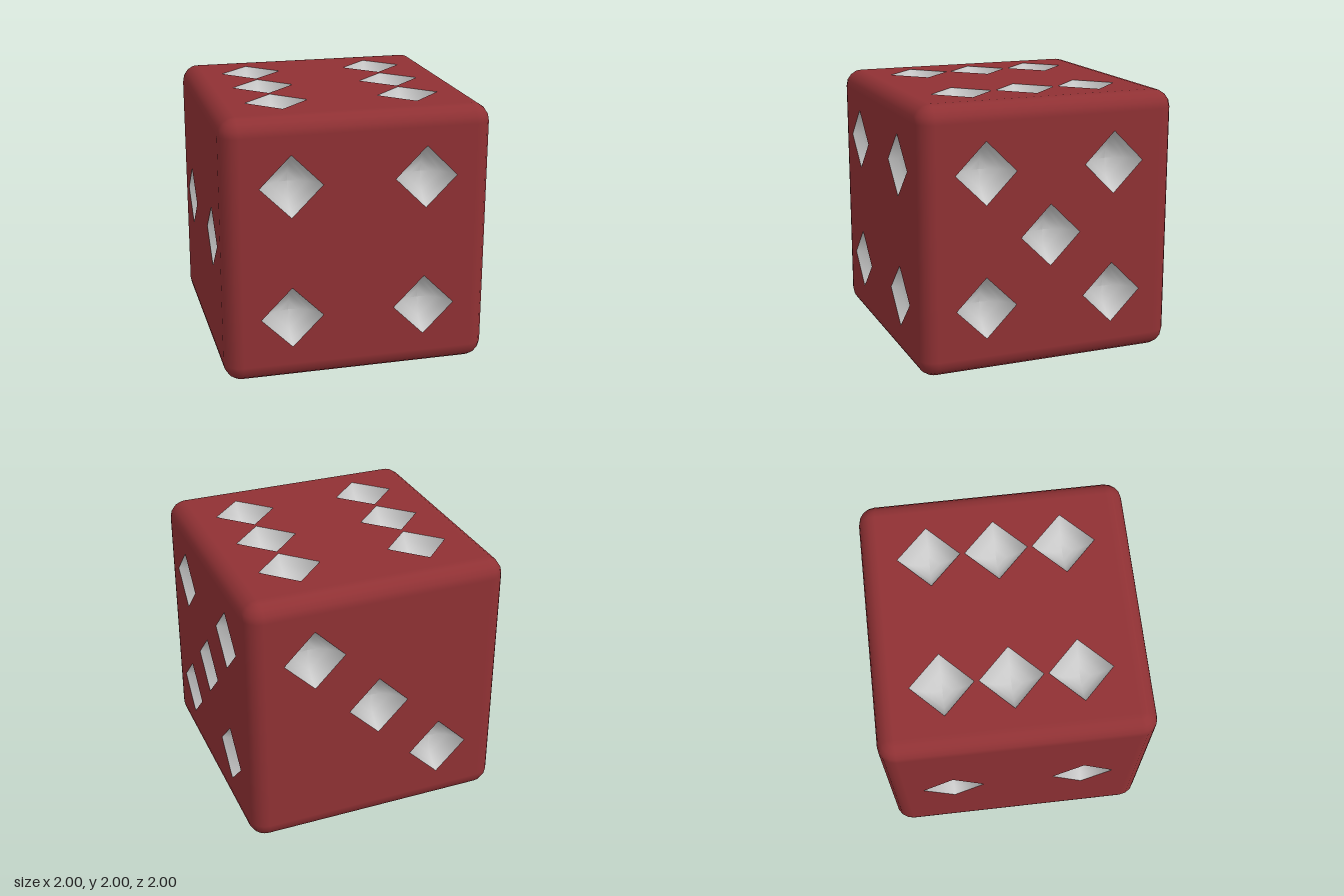
import * as THREE from 'three';
import { mergeGeometries } from 'three/addons/utils/BufferGeometryUtils.js';

const R = 0.13;          // edge rounding
const H = 1 - R;         // half size of the flat part of a face
const PIP = 0.25;        // radius of the ball that scoops out a pip
const RIM = 1.2;         // scoop angle where it meets the face
const RIM_RADIUS = PIP * Math.sin(RIM);
const Q = Math.PI / 2;

// Pip positions in each face's own x/y, and the turn that carries +z to that face
const FACES = [
  { name: 'front', turn: [0, 0, 0], pips: [[-0.5, 0.5], [0.5, 0.5], [-0.5, -0.5], [0.5, -0.5]] },
  { name: 'right', turn: [0, Q, 0], pips: [[-0.5, 0.5], [0.5, 0.5], [0, 0], [-0.5, -0.5], [0.5, -0.5]] },
  { name: 'top', turn: [-Q, 0, 0], pips: [[-0.5, 0.5], [-0.5, 0], [-0.5, -0.5], [0.5, 0.5], [0.5, 0], [0.5, -0.5]] },
  { name: 'back', turn: [0, 2 * Q, 0], pips: [[-0.5, 0.5], [0, 0], [0.5, -0.5]] },
  { name: 'left', turn: [0, -Q, 0], pips: [[-0.5, 0], [0.5, 0]] },
  { name: 'bottom', turn: [Q, 0, 0], pips: [[0, 0]] },
];

const place = (geometry, [x, y, z]) => geometry.rotateX(x).rotateY(y).rotateZ(z);

// Flat face with a diamond hole for every pip
function faceGeometry({ pips, turn }) {
  const shape = new THREE.Shape([[-H, -H], [H, -H], [H, H], [-H, H]].map(([x, y]) => new THREE.Vector2(x, y)));
  for (const [x, y] of pips) {
    shape.holes.push(new THREE.Path([[0, 1], [1, 0], [0, -1], [-1, 0]].map(
      ([u, v]) => new THREE.Vector2(x + u * RIM_RADIUS, y + v * RIM_RADIUS))));
  }
  return place(new THREE.ShapeGeometry(shape).translate(0, 0, 1), turn);
}

// Four-sided scooped bowl, opening outward
function pipGeometry([x, y], turn) {
  const profile = [];
  for (let i = 0; i <= 4; i++) {
    const t = RIM * (1 - i / 4);
    profile.push(new THREE.Vector2(PIP * Math.sin(t), PIP * (Math.cos(RIM) - Math.cos(t))));
  }
  return place(new THREE.LatheGeometry(profile, 4).rotateX(Q).translate(x, y, 1), turn);
}

// Rounded edges and corners
function roundedGeometries() {
  const parts = [];
  for (let k = 0; k < 4; k++) {
    for (const turn of [[0, 0, 0], [Q, 0, 0], [0, 0, Q]]) {
      const edge = new THREE.CylinderGeometry(R, R, 2 * H, 4, 1, true, 0, Q);
      parts.push(place(edge.translate(H, 0, H).rotateY(k * Q), turn));
    }
    for (const flip of [0, Math.PI]) {
      const corner = new THREE.SphereGeometry(R, 4, 4, 0, Q, 0, Q);
      parts.push(corner.translate(-H, H, H).rotateY(k * Q).rotateX(flip));
    }
  }
  return parts;
}

export function createModel() {
  const group = new THREE.Group();
  group.name = 'die';
  const red = new THREE.MeshStandardMaterial({ color: 0x903134 });
  const grey = new THREE.MeshStandardMaterial({ color: 0xcccccc });

  const add = (name, geometry, material) => {
    const mesh = new THREE.Mesh(geometry, material);
    mesh.name = name;
    mesh.position.y = 1;
    group.add(mesh);
  };

  add('body', mergeGeometries([...FACES.map(faceGeometry), ...roundedGeometries()]), red);
  for (const { name, turn, pips } of FACES) {
    add(`${name}Pips`, mergeGeometries(pips.map((p) => pipGeometry(p, turn))), grey);
  }
  return group;
}
